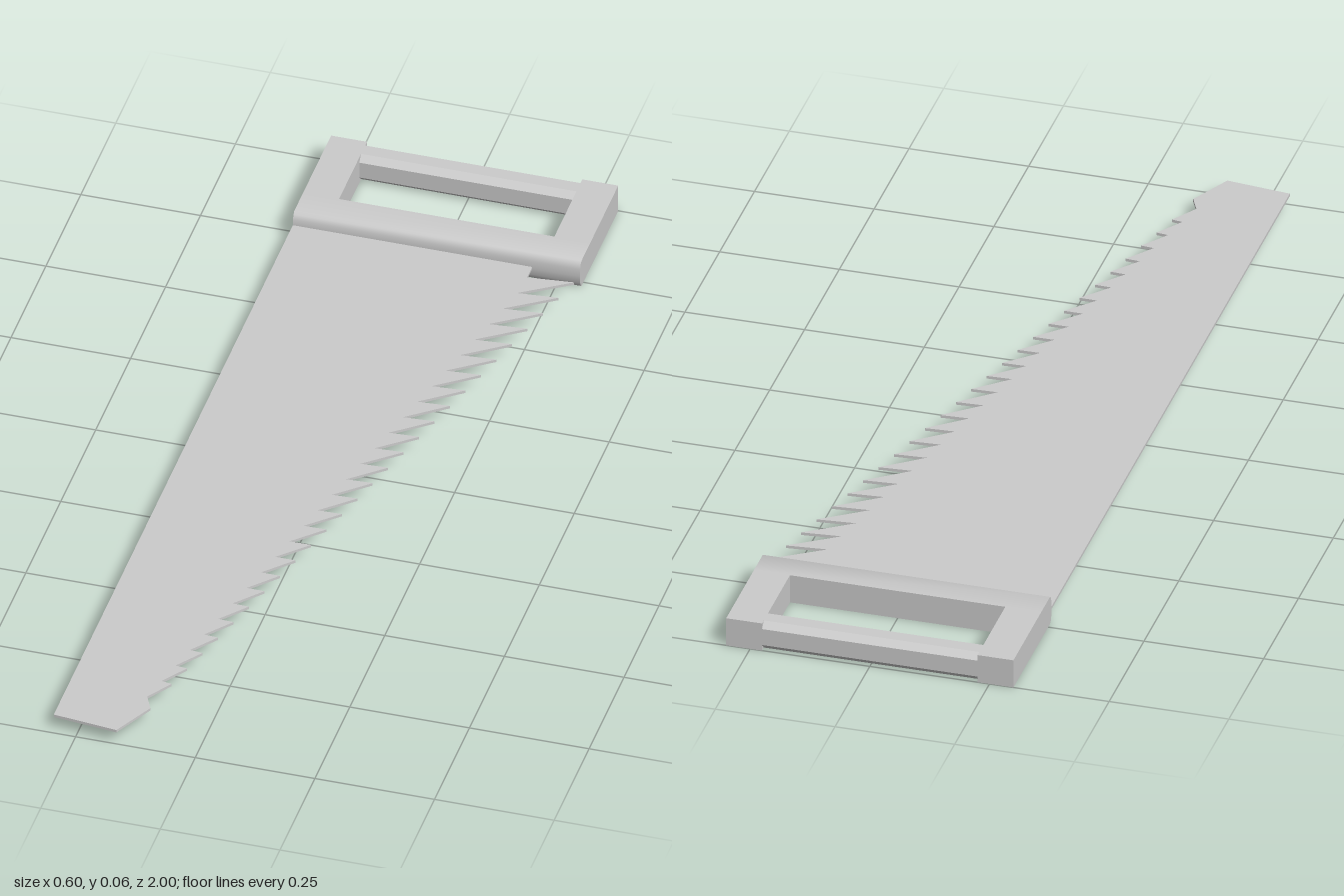
import * as THREE from 'three';
import { toCreasedNormals } from 'three/addons/utils/BufferGeometryUtils.js';

const H = 0.063; // handle thickness
const material = new THREE.MeshStandardMaterial({ color: 0xcccccc });

function addPart(group, name, geometry) {
  const mesh = new THREE.Mesh(geometry, material);
  mesh.name = name;
  group.add(mesh);
}

// Extrudes a [z, y] profile along x from x0 to x1
function barAlongX(profile, x0, x1) {
  const shape = new THREE.Shape(profile.map(([z, y]) => new THREE.Vector2(-z, y)));
  const geometry = new THREE.ExtrudeGeometry(shape, { depth: x1 - x0, bevelEnabled: false });
  return geometry.rotateY(Math.PI / 2).translate(x0, 0, 0);
}

// Flat blade with a straight back and backward-raked teeth that shrink to the tip
function bladeGeometry() {
  const teeth = 27;
  const lerp = THREE.MathUtils.lerp;
  const pitch = 1.52 / (teeth - 1);
  const outline = [[-0.3, 0.985], [-0.3, -0.75], [0.2, -0.75], [0.2, -0.69]];
  for (let i = 0; i < teeth; i++) {
    const t = i / (teeth - 1);
    const z = -0.7 + i * pitch;
    outline.push([lerp(0.295, -0.102, t), z]);
    outline.push([lerp(0.195, -0.137, t), z + pitch + lerp(0.008, -0.004, t)]);
  }
  outline.push([-0.12, 0.91], [-0.165, 1]);
  const shape = new THREE.Shape(outline.map(([x, z]) => new THREE.Vector2(x, -z)));
  const geometry = new THREE.ExtrudeGeometry(shape, { depth: 0.006, bevelEnabled: false });
  return geometry.rotateX(-Math.PI / 2).translate(0, 0.0285, 0);
}

export function createModel() {
  const saw = new THREE.Group();
  saw.name = 'handSaw';
  addPart(saw, 'blade', bladeGeometry());

  const handle = new THREE.Group();
  handle.name = 'handle';
  saw.add(handle);

  // Square side pieces of the handle frame
  for (const side of [-1, 1]) {
    const block = new THREE.BoxGeometry(0.075, H, 0.2);
    block.translate(side * 0.2625, H / 2, -0.9);
    addPart(handle, side > 0 ? 'leftSide' : 'rightSide', block);
  }

  // Front bar holding the blade, with a softly rounded nose
  const nose = [
    [-0.8, 0], [-0.737, 0], [-0.731, 0.005], [-0.727, 0.015], [-0.726, H / 2],
    [-0.727, H - 0.015], [-0.731, H - 0.005], [-0.737, H], [-0.8, H],
  ];
  addPart(handle, 'frontBar', toCreasedNormals(barAlongX(nose, -0.3, 0.3), 0.9));

  // Rear grip with chamfered edges
  const c = 0.013, back = -1, front = -0.945;
  const grip = [
    [back + c, 0], [front - c, 0], [front, c], [front, H - c],
    [front - c, H], [back + c, H], [back, H - c], [back, c],
  ];
  addPart(handle, 'grip', barAlongX(grip, -0.23, 0.23));
  return saw;
}
